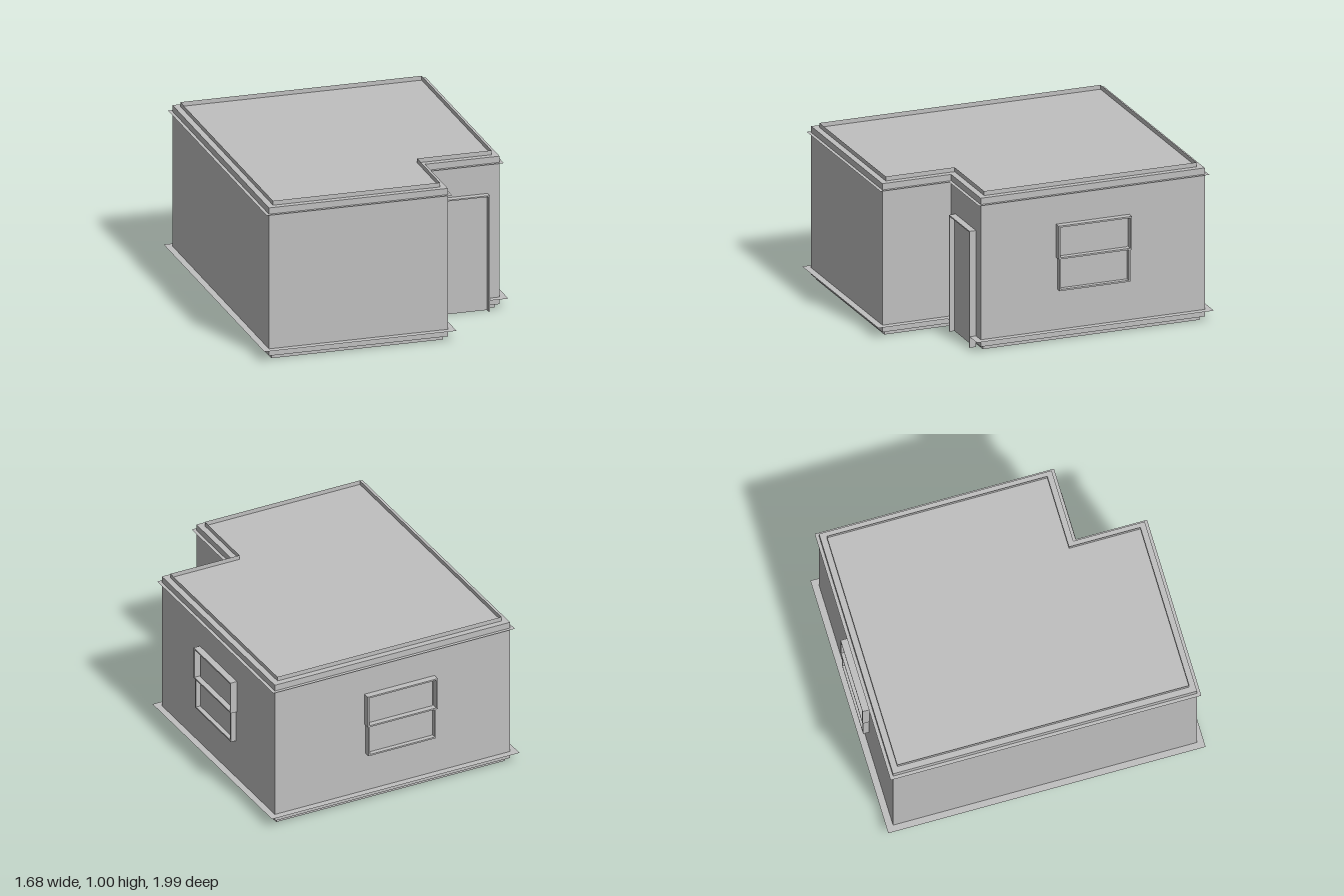
import * as THREE from 'three';

const grey = new THREE.MeshStandardMaterial({ color: 0xbfbfbf, side: THREE.DoubleSide });
grey.name = 'plaster grey';

// L-shaped plan [x, z] with the outward direction of each corner
const plan = [[-0.8, -0.952, -1, -1], [0.8, -0.952, 1, -1], [0.8, 0.505, 1, 1],
  [0.33, 0.505, 1, 1], [0.33, 0.952, 1, 1], [-0.8, 0.952, -1, 1]];
const offset = (d) => plan.map(([x, z, sx, sz]) => new THREE.Vector2(x + sx * d, -(z + sz * d)));

const DOOR = { x0: 0.4, x1: 0.725, top: 0.742 };

function add(parent, name, geometry, x = 0, y = 0, z = 0) {
  const m = new THREE.Mesh(geometry, grey);
  m.name = name;
  m.position.set(x, y, z);
  parent.add(m);
  return m;
}

// Solid slab of the plan, grown outward by d
function slab(parent, name, d, y0, y1) {
  const g = new THREE.ExtrudeGeometry(new THREE.Shape(offset(d)), { depth: y1 - y0, bevelEnabled: false });
  add(parent, name, g.rotateX(-Math.PI / 2), 0, y0, 0);
}

// Paper-thin horizontal ledge around the walls, optionally broken at the door
function ledge(parent, name, d, y, doorGap) {
  const outer = offset(d), inner = offset(0);
  outer.forEach((p, i) => {
    const j = (i + 1) % outer.length;
    const strip = (a, b, c, e) => add(parent, name,
      new THREE.ShapeGeometry(new THREE.Shape([a, b, c, e])).rotateX(-Math.PI / 2), 0, y, 0);
    if (doorGap && i === 2) {
      const v = (x, q) => new THREE.Vector2(x, q.y);
      strip(p, v(DOOR.x1, p), v(DOOR.x1, inner[i]), inner[i]);
      strip(v(DOOR.x0, p), outer[j], inner[j], v(DOOR.x0, inner[i]));
    } else strip(p, outer[j], inner[j], inner[i]);
  });
}

// Upright thin band following the plan
function rim(parent, name, d, y0, y1) {
  const pts = offset(d);
  pts.forEach((p, i) => {
    const q = pts[(i + 1) % pts.length];
    const m = add(parent, name, new THREE.PlaneGeometry(p.distanceTo(q), y1 - y0),
      (p.x + q.x) / 2, (y0 + y1) / 2, -(p.y + q.y) / 2);
    m.rotation.y = Math.atan2(q.y - p.y, q.x - p.x);
  });
}

// Rectangular frame standing out along +z
function frame(parent, name, w, y0, y1, depth, t) {
  const h = y1 - y0, y = (y0 + y1) / 2;
  for (const s of [-1, 1]) {
    add(parent, name + 'Side', new THREE.BoxGeometry(t, h, depth), s * (w - t) / 2, y, depth / 2);
    add(parent, name + 'Rail', new THREE.BoxGeometry(w, t, depth), 0, y + s * (h - t) / 2, depth / 2);
  }
}

function sashWindow(name, x, z, turn) {
  const g = new THREE.Group();
  g.name = name;
  frame(g, 'lowerSash', 0.46, 0.325, 0.54, 0.036, 0.01);
  frame(g, 'upperSash', 0.476, 0.53, 0.742, 0.042, 0.01);
  add(g, 'pane', new THREE.BoxGeometry(0.44, 0.4, 0.006), 0, 0.533, 0.004);
  g.position.set(x, 0, z);
  g.rotation.y = turn;
  return g;
}

export function createModel() {
  const house = new THREE.Group();
  house.name = 'house';

  // Body: recessed base, walls with roof slab, low parapet
  slab(house, 'base', -0.022, 0, 0.025);
  slab(house, 'walls', 0, 0.025, 0.972);
  rim(house, 'parapet', -0.038, 0.972, 1);

  // Ledges at the foot and top of the walls
  ledge(house, 'footLedge', 0.042, 0.07, true);
  ledge(house, 'corniceLedge', 0.021, 0.932, false);

  // Door in the notch
  const door = new THREE.Group();
  door.name = 'door';
  const w = DOOR.x1 - DOOR.x0;
  for (const s of [-1, 1]) {
    add(door, 'doorJamb', new THREE.BoxGeometry(0.008, DOOR.top, 0.042), s * (w - 0.008) / 2, DOOR.top / 2, 0.021);
  }
  add(door, 'doorLintel', new THREE.BoxGeometry(w, 0.008, 0.042), 0, DOOR.top - 0.004, 0.021);
  add(door, 'doorLeaf', new THREE.BoxGeometry(w - 0.016, DOOR.top - 0.008, 0.008), 0, (DOOR.top - 0.008) / 2, 0.006);
  door.position.set((DOOR.x0 + DOOR.x1) / 2, 0, 0.505);
  house.add(door);

  // Windows on the +x side and the back
  house.add(sashWindow('sideWindow', 0.8, -0.223, Math.PI / 2));
  house.add(sashWindow('backWindow', -0.048, -0.952, Math.PI));
  return house;
}
